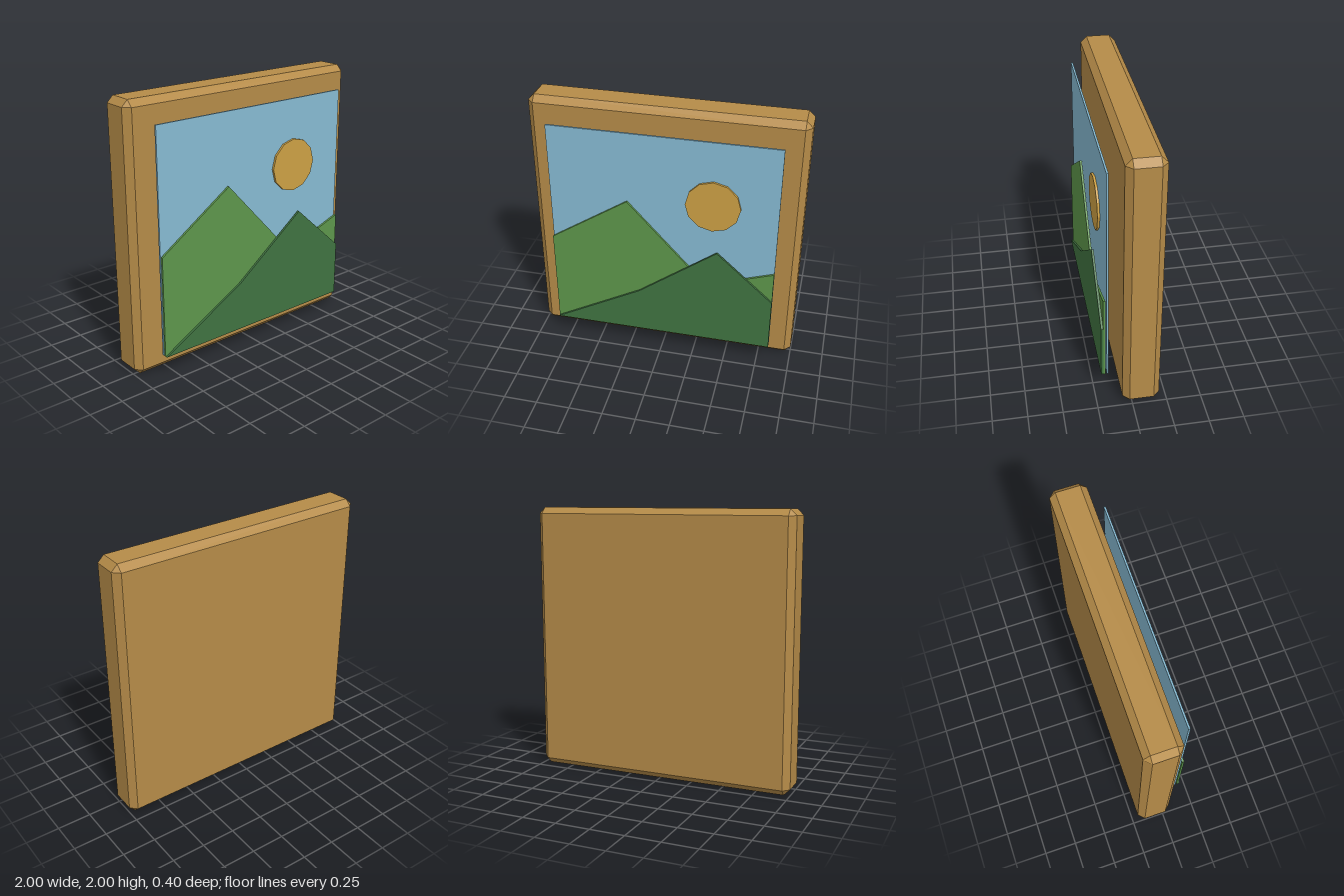
import * as THREE from 'three';
import { ConvexGeometry } from 'three/addons/geometries/ConvexGeometry.js';

const material = (color) => new THREE.MeshStandardMaterial({ color, flatShading: true });

// Box with every edge bevelled and small triangular corners
function bevelledBox(w, h, d, bevel) {
  const points = [];
  for (const sx of [-1, 1]) for (const sy of [-1, 1]) for (const sz of [-1, 1]) {
    for (let axis = 0; axis < 3; axis++) {
      const half = [w, h, d].map((size, i) => size / 2 - (i === axis ? 0 : bevel));
      points.push(new THREE.Vector3(sx * half[0], sy * half[1], sz * half[2]));
    }
  }
  return new ConvexGeometry(points);
}

// Flat cut-out between two depths
function cutout(outline, back, front) {
  const shape = new THREE.Shape(outline.map(([x, y]) => new THREE.Vector2(x, y)));
  const geometry = new THREE.ExtrudeGeometry(shape, { depth: front - back, bevelEnabled: false });
  return geometry.translate(0, 0, back);
}

export function createModel() {
  const model = new THREE.Group();
  model.name = 'landscapePicture';
  const add = (name, geometry, color) => {
    const mesh = new THREE.Mesh(geometry, material(color));
    mesh.name = name;
    model.add(mesh);
  };

  const L = -0.838, R = 0.838, bottom = 0.163, top = 1.84;

  // Solid wooden frame block
  add('frame', bevelledBox(2, 2, 0.267, 0.046).translate(0, 1, -0.0665), 0xb58b48);

  // Layered scene, floating just in front of the frame
  add('sky', cutout([[L, bottom], [R, bottom], [R, top], [L, top]], 0.146, 0.16), 0x86bad2);

  const sun = new THREE.CylinderGeometry(0.2, 0.2, 0.019, 12).rotateX(Math.PI / 2);
  add('sun', sun.translate(0.37, 1.34, 0.167), 0xcca044);

  add('farHills', cutout([
    [L, bottom], [R, bottom], [R, 0.835], [0.338, 0.66], [-0.255, 1.305], [L, 0.92],
  ], 0.168, 0.184), 0x5d964b);

  add('nearHill', cutout([
    [L, bottom], [R, bottom], [R, 0.587], [0.415, 0.968], [-0.17, 0.53],
  ], 0.184, 0.2), 0x407341);

  return model;
}
